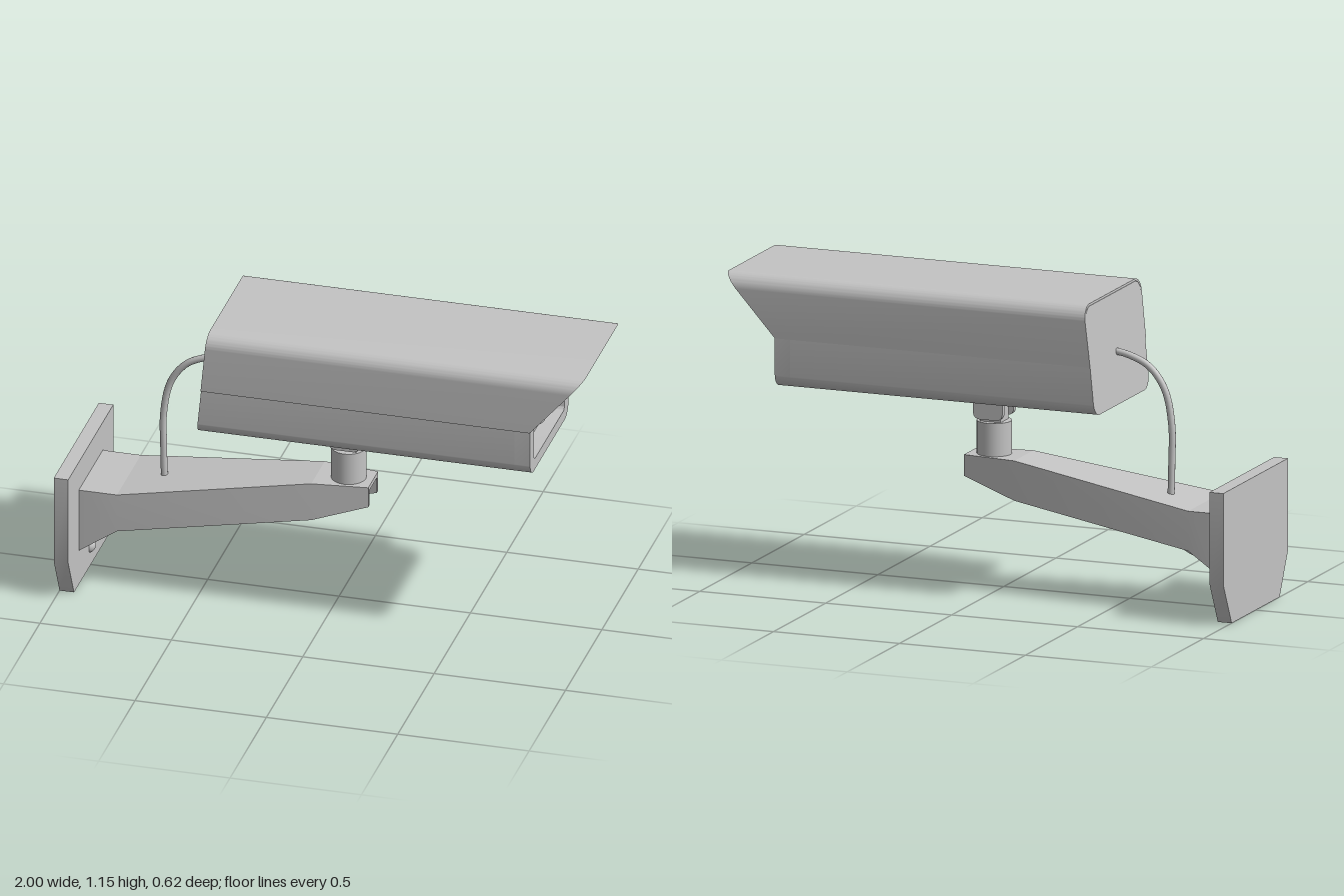
import * as THREE from 'three';
import { toCreasedNormals } from 'three/addons/utils/BufferGeometryUtils.js';

const grey = new THREE.MeshStandardMaterial({ color: 0xc4c4c4 });
grey.name = 'light grey';

export function createModel() {
  const model = new THREE.Group();
  model.name = 'securityCamera';

  function add(name, geometry, x = 0, y = 0, z = 0) {
    const mesh = new THREE.Mesh(geometry, grey);
    mesh.name = name;
    mesh.position.set(x, y, z);
    model.add(mesh);
    return mesh;
  }

  // Extrudes a (z, y) outline along x, then remaps its two ends by height
  function extrudeX(shape, back, front) {
    const g = new THREE.ExtrudeGeometry(shape, { depth: 1, bevelEnabled: false, curveSegments: 8 });
    g.rotateY(Math.PI / 2);
    const p = g.attributes.position;
    for (let i = 0; i < p.count; i++) p.setX(i, (p.getX(i) < 0.5 ? back : front)(p.getY(i)));
    return toCreasedNormals(g, 0.5);
  }
  const at = (x) => () => x;

  function roundedRect(target, h, y0, y1, r) {
    target.moveTo(-h + r, y0);
    target.lineTo(h - r, y0);
    target.absarc(h - r, y0 + r, r, -Math.PI / 2, 0);
    target.absarc(h - r, y1 - r, r, 0, Math.PI / 2);
    target.absarc(-h + r, y1 - r, r, Math.PI / 2, Math.PI);
    target.absarc(-h + r, y0 + r, r, Math.PI, Math.PI * 1.5);
    return target;
  }

  // Wall plate and its screw
  const plate = new THREE.Shape(
    [[-0.23, 0], [0.23, 0], [0.31, 0.16], [0.31, 0.505], [-0.31, 0.505], [-0.31, 0.16]]
      .map(([z, y]) => new THREE.Vector2(z, y)));
  add('wallPlate', extrudeX(plate, at(-1), at(-0.945)));
  add('plateScrew', new THREE.SphereGeometry(0.029, 20, 14), -0.955, 0.08, 0);

  // Arm: a channel open below, swept through stations [x, top, bottom, half width]
  const stations = [
    [-0.945, 0.39, 0.14, 0.165], [-0.8, 0.39, 0.24, 0.165],
    [-0.08, 0.5, 0.35, 0.093], [0.13, 0.5, 0.42, 0.068],
  ];
  const wall = 0.018;
  const points = [], faces = [];
  const quad = (a, b, c, d) => faces.push(a, b, c, a, c, d);
  stations.forEach(([x, t, b, h], i) => {
    const n = h - wall;
    for (const [z, y] of [[-h, b], [-h, t], [h, t], [h, b], [n, b], [n, t - wall], [-n, t - wall], [-n, b]])
      points.push(x, y, z);
    if (i) for (let j = 0; j < 8; j++) {
      const k = (j + 1) % 8, o = (i - 1) * 8;
      quad(o + j, o + k, o + 8 + k, o + 8 + j);
    }
  });
  const end = (stations.length - 1) * 8;
  for (const [a, b, c, d] of [[0, 1, 6, 7], [1, 2, 5, 6], [2, 3, 4, 5]]) quad(end + a, end + b, end + c, end + d);
  const arm = new THREE.BufferGeometry();
  arm.setAttribute('position', new THREE.Float32BufferAttribute(points, 3));
  arm.setIndex(faces);
  add('arm', toCreasedNormals(arm, 0.1));

  // Cross ribs under the arm
  for (let i = 0; i < 5; i++) {
    const x = -0.65 + i * 0.125;
    const top = 0.39 + (x + 0.8) * 0.153;
    const half = 0.165 - (x + 0.8) * 0.1;
    add('armRib', new THREE.BoxGeometry(0.018, 0.05, 2 * half - 0.02), x, top - 0.035, 0);
  }

  // Swivel post, knuckle and bracket ears
  const px = 0.037;
  add('swivelPost', new THREE.CylinderGeometry(0.065, 0.065, 0.13, 32), px, 0.56, 0);
  add('knuckle', new THREE.BoxGeometry(0.08, 0.1, 0.08), px, 0.665, 0);
  add('knucklePin', new THREE.CylinderGeometry(0.013, 0.013, 0.04, 16), px, 0.725, 0);
  const ear = new THREE.Shape();
  ear.moveTo(-0.058, 0.745);
  ear.lineTo(-0.058, 0.66);
  ear.quadraticCurveTo(-0.055, 0.637, -0.03, 0.637);
  ear.lineTo(0.03, 0.637);
  ear.quadraticCurveTo(0.055, 0.637, 0.058, 0.66);
  ear.lineTo(0.058, 0.745);
  for (const z of [0.043, -0.065])
    add('bracketEar', toCreasedNormals(
      new THREE.ExtrudeGeometry(ear, { depth: 0.022, bevelEnabled: false }), 0.5), px, 0, z);

  // Housing with a slanted back and a recessed front window
  const slant = (y) => -0.47 + 0.04 * (y - 0.735) / 0.415;
  const outline = () => roundedRect(new THREE.Shape(), 0.264, 0.735, 1.141, 0.05);
  add('housing', extrudeX(outline(), slant, at(0.74)));
  const rim = outline();
  rim.holes.push(roundedRect(new THREE.Path(), 0.209, 0.779, 1.095, 0.015));
  add('frontRim', extrudeX(rim, at(0.74), at(0.8)));
  const lens = new THREE.CylinderGeometry(0.094, 0.094, 0.05, 12);
  lens.rotateZ(-Math.PI / 2);
  add('lens', toCreasedNormals(lens, 0.6), 0.755, 0.925, 0);

  // Sun hood: a thin arch whose front edge rakes forward
  const hood = new THREE.Shape();
  const H = 0.272, top = 1.15, low = 0.92, r = 0.055, t = 0.008;
  hood.moveTo(H, low);
  hood.absarc(H - r, top - r, r, 0, Math.PI / 2);
  hood.absarc(-H + r, top - r, r, Math.PI / 2, Math.PI);
  hood.lineTo(-H, low);
  hood.lineTo(-H + t, low);
  hood.absarc(-H + r, top - r, r - t, Math.PI, Math.PI / 2, true);
  hood.absarc(H - r, top - r, r - t, Math.PI / 2, 0, true);
  hood.lineTo(H - t, low);
  add('sunHood', extrudeX(hood, slant, (y) => 0.8 + 0.2 * (y - low) / (top - low)));

  // Cable from the housing down through the arm to the wall
  const path = new THREE.CatmullRomCurve3(
    [[-0.43, 0.93], [-0.5, 0.917], [-0.58, 0.88], [-0.64, 0.8], [-0.668, 0.67], [-0.668, 0.5],
      [-0.668, 0.32], [-0.69, 0.25], [-0.74, 0.205], [-0.82, 0.187], [-0.95, 0.185]]
      .map(([x, y]) => new THREE.Vector3(x, y, -0.003)));
  add('cable', new THREE.TubeGeometry(path, 64, 0.013, 12));

  return model;
}
